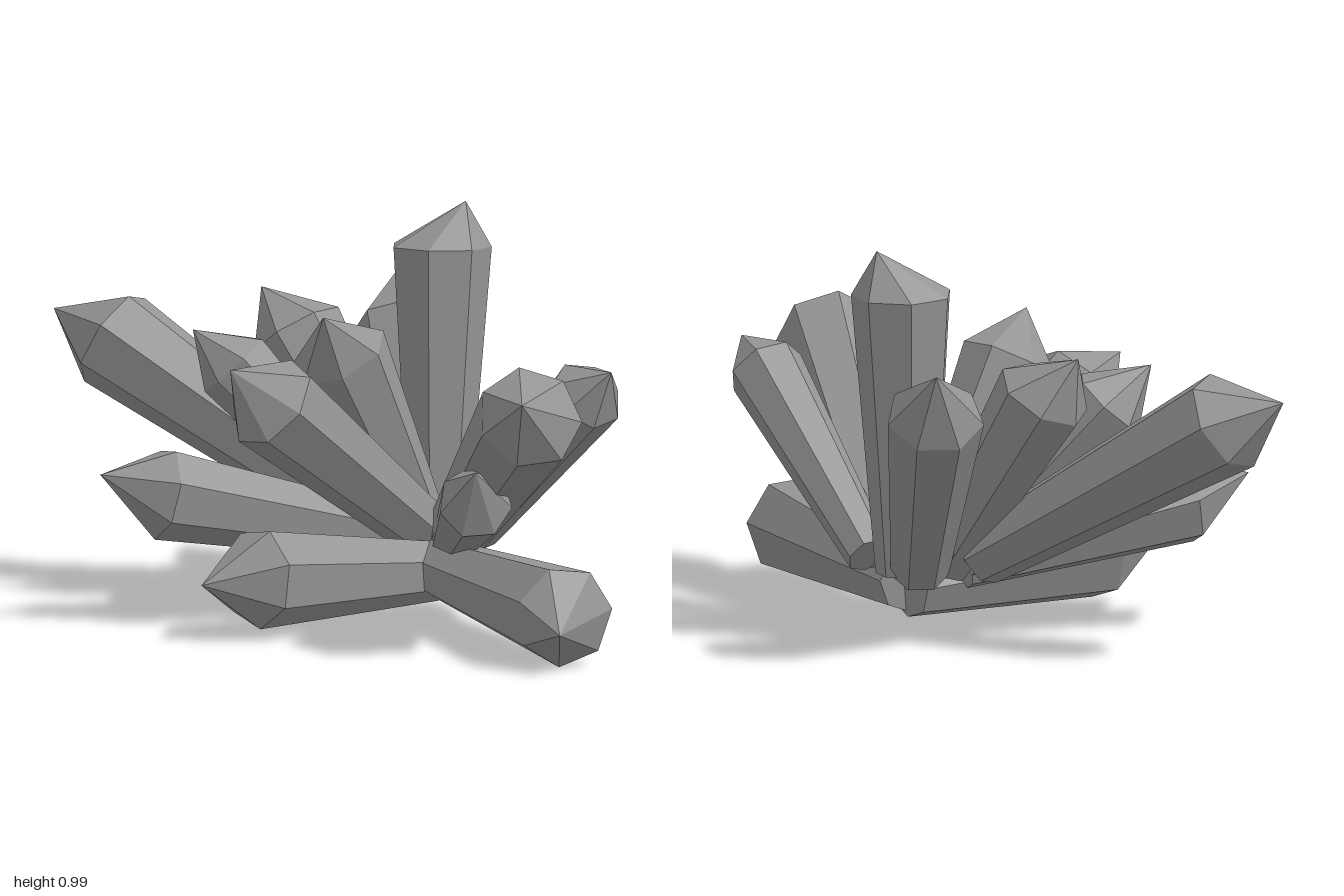
import * as THREE from 'three';

const SIDES = 7;
const TAPER = 0.6;

// One crystal: a capped prism widening from base to shoulder, closed by an off-centre point.
function crystalGeometry(base, shoulder, tip, radius, turn) {
  const b = new THREE.Vector3(...base);
  const s = new THREE.Vector3(...shoulder);
  const t = new THREE.Vector3(...tip);
  const axis = s.clone().sub(b).normalize();
  const spin = new THREE.Quaternion().setFromUnitVectors(new THREE.Vector3(0, 1, 0), axis);
  const ring = (centre, r) => Array.from({ length: SIDES }, (_, i) => {
    const a = turn + (i / SIDES) * Math.PI * 2;
    return new THREE.Vector3(Math.sin(a) * r, 0, Math.cos(a) * r).applyQuaternion(spin).add(centre);
  });
  const low = ring(b, radius * TAPER);
  const high = ring(s, radius);
  const corners = [];
  for (let i = 0; i < SIDES; i++) {
    const j = (i + 1) % SIDES;
    corners.push(low[i], low[j], high[j], low[i], high[j], high[i]); // side
    corners.push(high[i], high[j], t); // point
    corners.push(low[j], low[i], b); // base cap
  }
  const geometry = new THREE.BufferGeometry().setFromPoints(corners);
  geometry.computeVertexNormals();
  return geometry;
}

// name, base centre, shoulder centre, tip, shoulder radius
const CRYSTALS = [
  ['tallCrystal', [0.3, 0.18, -0.12], [0.33, 0.88, -0.145], [0.39, 0.99, -0.12], 0.127],
  ['backLeftCrystal', [0.29, 0.19, -0.16], [0.465, 0.63, -0.47], [0.54, 0.75, -0.58], 0.122],
  ['backCrystal', [0.21, 0.2, -0.15], [0.12, 0.65, -0.45], [0.095, 0.75, -0.56], 0.12],
  ['longBackCrystal', [0.15, 0.22, -0.22], [-0.145, 0.61, -0.85], [-0.21, 0.67, -1], 0.13],
  ['smallBackCrystal', [0.15, 0.2, -0.14], [-0.125, 0.6, -0.385], [-0.22, 0.69, -0.43], 0.1],
  ['sideBackCrystal', [0.13, 0.19, -0.12], [-0.425, 0.32, -0.29], [-0.58, 0.375, -0.34], 0.116],
  ['lowSideCrystal', [0.18, 0.11, 0.035], [-0.4, 0.15, 0.06], [-0.56, 0.145, 0.04], 0.126],
  ['sideCrystal', [0.18, 0.2, 0], [-0.31, 0.57, 0], [-0.4, 0.655, -0.05], 0.124],
  ['upperCrystal', [0.2, 0.2, -0.07], [-0.065, 0.66, -0.05], [-0.18, 0.775, 0.04], 0.128],
  ['frontLeftCrystal', [0.29, 0.2, 0.05], [0.26, 0.6, 0.53], [0.26, 0.67, 0.63], 0.096],
  ['longFrontCrystal', [0.215, 0.215, 0.08], [-0.12, 0.615, 0.79], [-0.23, 0.67, 0.9], 0.132],
  ['lowFrontCrystal', [0.17, 0.12, 0.05], [-0.085, 0.128, 0.885], [-0.19, 0.105, 1], 0.126],
  ['smallFrontCrystal', [0.18, 0.19, 0.1], [-0.095, 0.37, 0.54], [-0.14, 0.455, 0.6], 0.092],
];

export function createModel() {
  const cluster = new THREE.Group();
  cluster.name = 'crystalCluster';
  const material = new THREE.MeshStandardMaterial({ color: 0x959595, flatShading: true });
  CRYSTALS.forEach(([name, base, shoulder, tip, radius], i) => {
    const crystal = new THREE.Mesh(crystalGeometry(base, shoulder, tip, radius, i * 0.37), material);
    crystal.name = name;
    cluster.add(crystal);
  });
  return cluster;
}
